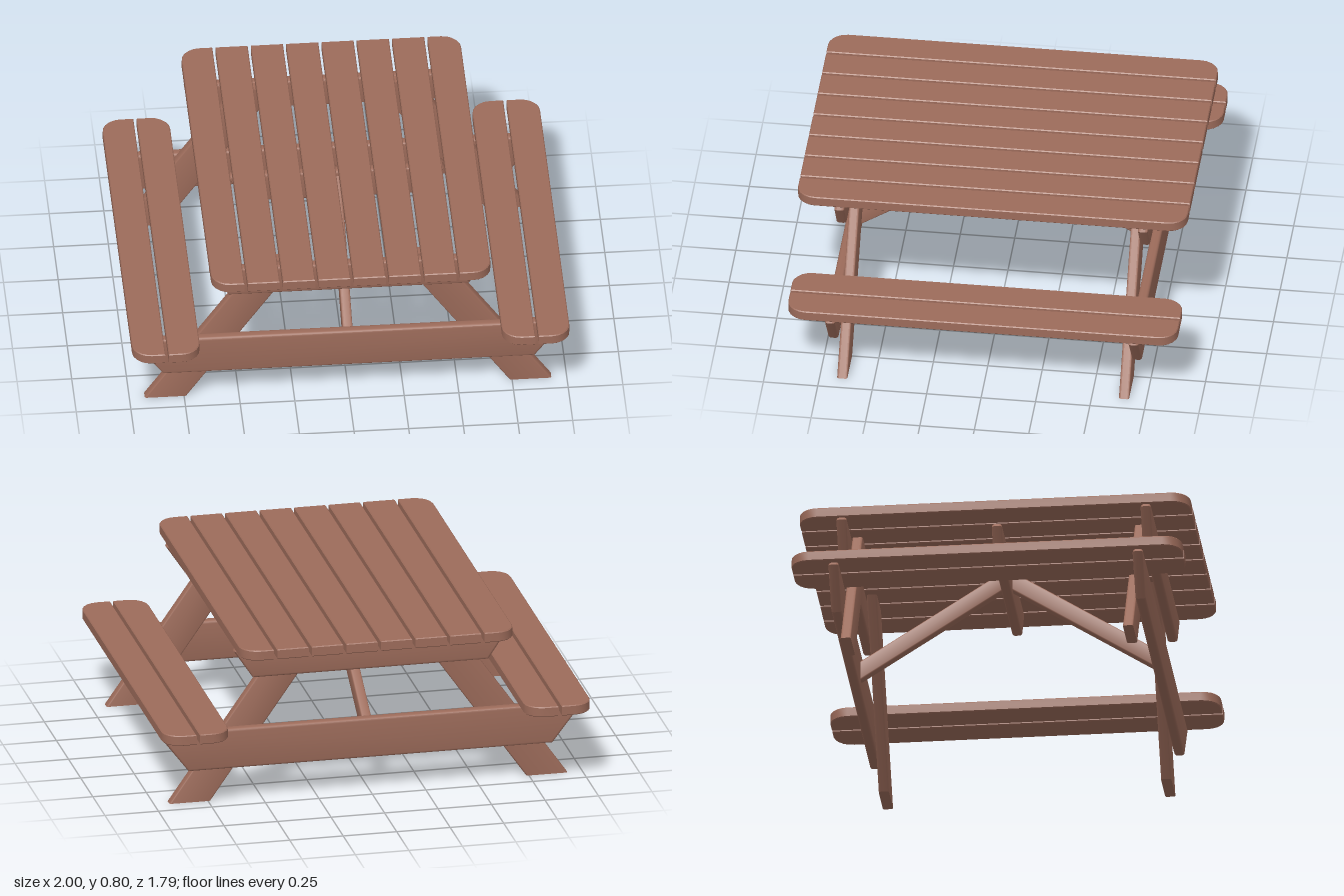
import * as THREE from 'three';
import { toCreasedNormals } from 'three/addons/utils/BufferGeometryUtils.js';

// Rectangle centred on the origin with separate corner radii on its -x and +x sides
function roundedRect(w, h, rLeft, rRight, steps = 5) {
  const pts = [];
  const corners = [[1, 1, rRight], [-1, 1, rLeft], [-1, -1, rLeft], [1, -1, rRight]];
  corners.forEach(([sx, sy, r], i) => {
    const cx = sx * (w / 2 - r), cy = sy * (h / 2 - r);
    const n = r > 0 ? steps : 0;
    for (let k = 0; k <= n; k++) {
      const a = (i + (n ? k / n : 0)) * Math.PI / 2;
      pts.push(new THREE.Vector2(cx + r * Math.cos(a), cy + r * Math.sin(a)));
    }
  });
  return new THREE.Shape(pts);
}

// Extrusion centred in depth, with an edge bevel that stays inside the outline
function slab(shape, depth, bevel, segments) {
  const geo = new THREE.ExtrudeGeometry(shape, {
    depth: depth - 2 * bevel, bevelEnabled: bevel > 0, bevelThickness: bevel,
    bevelSize: bevel, bevelOffset: -bevel, bevelSegments: segments,
  });
  return geo.translate(0, 0, bevel - depth / 2);
}

function finish(geo) {
  geo.computeVertexNormals();
  return toCreasedNormals(geo, 0.6);
}

export function createModel() {
  const model = new THREE.Group();
  model.name = 'picnicTable';
  const wood = new THREE.MeshStandardMaterial({ color: 0x9c6b5a });
  wood.name = 'brownWood';

  function add(name, geo, x, y, z) {
    const mesh = new THREE.Mesh(finish(geo), wood);
    mesh.name = name;
    mesh.position.set(x, y, z);
    model.add(mesh);
  }

  // Planks lie along z; rounded corners only on the outer side
  const thick = 0.048, corner = 0.085;
  function plank(name, x, y, width, outer) {
    const shape = roundedRect(width, 1.79, outer < 0 ? corner : 0, outer > 0 ? corner : 0);
    add(name, slab(shape, thick, 0.004, 1).rotateX(Math.PI / 2), x, y, 0);
  }

  // Table top
  for (let i = 0; i < 8; i++) {
    plank('topPlank', (i - 3.5) * 0.1615, 0.772, 0.147, i === 0 ? -1 : i === 7 ? 1 : 0);
  }

  // Benches
  for (const s of [-1, 1]) {
    plank('innerSeatPlank', s * 0.765, 0.387, 0.147, -s);
    plank('outerSeatPlank', s * 0.9265, 0.387, 0.147, s);
  }

  // Tapered cross boards with rounded edges
  function crossBoard(name, topHalf, bottomHalf, y0, y1, z) {
    const shape = new THREE.Shape([
      new THREE.Vector2(-bottomHalf, y0), new THREE.Vector2(bottomHalf, y0),
      new THREE.Vector2(topHalf, y1 - 0.015), new THREE.Vector2(topHalf - 0.01, y1),
      new THREE.Vector2(-topHalf + 0.01, y1), new THREE.Vector2(-topHalf, y1 - 0.015),
    ]);
    add(name, slab(shape, 0.048, 0.013, 3), 0, 0, z);
  }
  for (const s of [-1, 1]) {
    crossBoard('seatSupport', 0.985, 0.85, 0.168, 0.36, s * 0.697);
    crossBoard('topSupport', 0.638, 0.55, 0.6, 0.747, s * 0.697);
  }
  crossBoard('centreSupport', 0.495, 0.41, 0.6, 0.747, 0);

  // Leaning legs: a softened cross-section raised in y, then sheared in x
  const legHeight = 0.749, lean = 0.7;
  for (const sx of [-1, 1]) {
    for (const sz of [-1, 1]) {
      const geo = slab(roundedRect(0.192, 0.047, 0.009, 0.009, 3), legHeight, 0, 1);
      geo.rotateX(-Math.PI / 2).translate(0, legHeight / 2, 0);
      const p = geo.attributes.position;
      for (let i = 0; i < p.count; i++) p.setX(i, p.getX(i) - sx * lean * p.getY(i));
      add('leg', geo, sx * 0.834, 0, sz * 0.647);
    }
  }

  // Diagonal braces from the centre support down to the seat supports
  const reach = 0.674, drop = 0.64;
  for (const s of [-1, 1]) {
    const geo = slab(roundedRect(0.046, 0.095, 0.009, 0.009, 3), reach, 0, 1);
    geo.translate(0, 0, s * reach / 2);
    const p = geo.attributes.position;
    for (let i = 0; i < p.count; i++) p.setY(i, p.getY(i) - drop * Math.abs(p.getZ(i)));
    add('brace', geo, 0, 0.69, 0);
  }

  return model;
}
